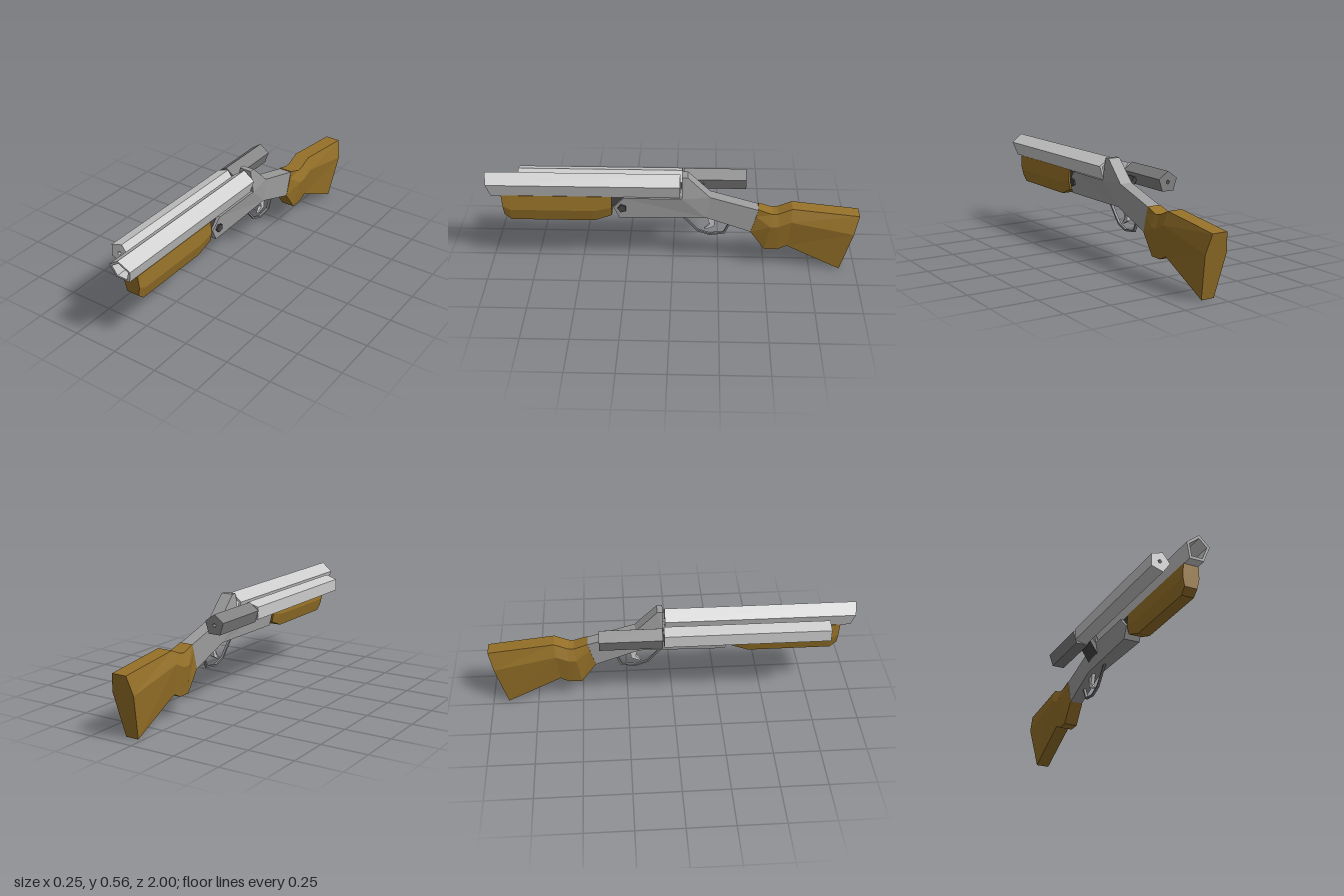
import * as THREE from 'three';

const CX = 0.06; // centre plane of the main body
const mat = (color) => new THREE.MeshStandardMaterial({ color, flatShading: true, side: THREE.DoubleSide });

function ring(r, cx, cy, start) {
  return Array.from({ length: 5 }, (_, i) => {
    const a = start + (i * Math.PI * 2) / 5;
    return new THREE.Vector2(cx + r * Math.cos(a), cy + r * Math.sin(a));
  });
}

// Five-sided hollow tube along z
function tube(r, bore, cx, cy, z0, z1, start) {
  const shape = new THREE.Shape(ring(r, cx, cy, start));
  shape.holes.push(new THREE.Path(ring(bore, cx, cy, start)));
  return new THREE.ExtrudeGeometry(shape, { depth: z1 - z0, bevelEnabled: false }).translate(0, 0, z0);
}

// Side profile of [z, y] points; half width given by a rule of (z, y)
function plate(points, halfWidth) {
  const shape = new THREE.Shape(points.map(([z, y]) => new THREE.Vector2(z, y)));
  const g = new THREE.ExtrudeGeometry(shape, { depth: 1, bevelEnabled: false });
  g.translate(0, 0, -0.5).rotateY(-Math.PI / 2);
  const p = g.attributes.position;
  for (let i = 0; i < p.count; i++) {
    p.setX(i, CX + Math.sign(p.getX(i)) * halfWidth(p.getZ(i), p.getY(i)));
  }
  g.computeVertexNormals();
  return g;
}

// Six-sided loft, front to back. Station: [topZ, topY, bottomZ, bottomY, topHalf, midHalf, bottomHalf]
function loft(stations, midT) {
  const pos = [];
  const index = [];
  for (const [tz, ty, bz, by, tw, mw, bw] of stations) {
    const mz = tz + (bz - tz) * midT;
    const my = ty + (by - ty) * midT;
    pos.push(CX + tw, ty, tz, CX - tw, ty, tz, CX - mw, my, mz);
    pos.push(CX - bw, by, bz, CX + bw, by, bz, CX + mw, my, mz);
  }
  const last = (stations.length - 1) * 6;
  for (let k = 0; k < last; k += 6) {
    for (let i = 0; i < 6; i++) {
      const a = k + i, b = k + ((i + 1) % 6);
      index.push(a, a + 6, b + 6, a, b + 6, b);
    }
  }
  for (let i = 1; i < 5; i++) {
    index.push(0, i, i + 1, last, last + i + 1, last + i);
  }
  const g = new THREE.BufferGeometry();
  g.setAttribute('position', new THREE.Float32BufferAttribute(pos, 3));
  g.setIndex(index);
  const flat = g.toNonIndexed();
  flat.computeVertexNormals();
  return flat;
}

export function createModel() {
  const group = new THREE.Group();
  const light = mat(0xcccccc), steel = mat(0x9c9c9c), grey = mat(0x808080);
  const dark = mat(0x444444), wood = mat(0x967128);
  const add = (name, geometry, material) => {
    const mesh = new THREE.Mesh(geometry, material);
    mesh.name = name;
    group.add(mesh);
    return mesh;
  };

  // Barrel with a slanted muzzle
  const barrel = tube(0.067, 0.051, CX, 0.498, -0.04, 1, Math.PI / 2);
  const bp = barrel.attributes.position;
  for (let i = 0; i < bp.count; i++) {
    if (bp.getZ(i) > 0.5) bp.setZ(i, 1 + (bp.getY(i) - 0.565) * 0.25);
  }
  barrel.computeVertexNormals();
  add('barrel', barrel, light);

  // Side tube in two pieces, turned against each other
  add('sideTubeFront', tube(0.057, 0.011, -0.07, 0.472, -0.05, 0.84, 0), light);
  add('sideTubeRear', tube(0.058, 0.011, -0.07, 0.472, -0.395, -0.058, Math.PI / 2), grey);

  // Slanted arm between side tube and receiver
  const arm = add('sideTubeArm', new THREE.BoxGeometry(0.025, 0.1, 0.12), dark);
  arm.position.set(0.003, 0.422, -0.105);
  arm.rotation.z = 0.58;

  // Receiver with raised breech and sloping neck
  add('receiver', plate([
    [0.26, 0.445], [-0.05, 0.445], [-0.05, 0.565], [-0.08, 0.565], [-0.2, 0.447],
    [-0.465, 0.37], [-0.42, 0.235], [-0.18, 0.32], [0.285, 0.32], [0.315, 0.385],
  ], (z, y) => (y > 0.5 ? 0.034 : z < -0.15 ? 0.036 : y > 0.44 ? 0.053 : 0.046)), steel);

  // Hinge between receiver and fore-end
  const block = add('hingeBlock', new THREE.BoxGeometry(0.07, 0.055, 0.1), dark);
  block.position.set(CX, 0.417, 0.285);
  const pin = add('hingePin', new THREE.CylinderGeometry(0.024, 0.024, 0.06, 5), dark);
  pin.rotation.z = -Math.PI / 2;
  pin.position.set(0.09, 0.384, 0.268);

  // Wooden fore-end
  add('foreEnd', loft([
    [0.915, 0.445, 0.905, 0.325, 0.042, 0.046, 0.035],
    [0.87, 0.445, 0.87, 0.293, 0.042, 0.051, 0.034],
    [0.42, 0.445, 0.42, 0.293, 0.042, 0.051, 0.034],
    [0.325, 0.445, 0.325, 0.33, 0.042, 0.049, 0.038],
  ], 0.55), wood);

  // Wooden stock with grip
  add('stock', loft([
    [-0.46, 0.375, -0.42, 0.235, 0.038, 0.039, 0.037],
    [-0.535, 0.35, -0.5, 0.125, 0.042, 0.064, 0.038],
    [-0.565, 0.353, -0.57, 0.125, 0.042, 0.064, 0.038],
    [-0.64, 0.385, -0.62, 0.15, 0.042, 0.064, 0.038],
    [-1, 0.345, -0.915, 0.003, 0.042, 0.064, 0.037],
  ], 0.3), wood);

  // Trigger guard strip and trigger
  add('triggerGuard', plate([
    [-0.035, 0.325], [-0.13, 0.216], [-0.2, 0.191], [-0.283, 0.202], [-0.32, 0.285],
    [-0.31, 0.285], [-0.276, 0.211], [-0.2, 0.2], [-0.135, 0.225], [-0.048, 0.325],
  ], () => 0.007), grey);
  add('trigger', plate([
    [-0.18, 0.325], [-0.2, 0.262], [-0.17, 0.232], [-0.178, 0.226], [-0.225, 0.25], [-0.23, 0.31],
  ], (z, y) => (y < 0.24 ? 0.005 : 0.01)), light);

  return group;
}
